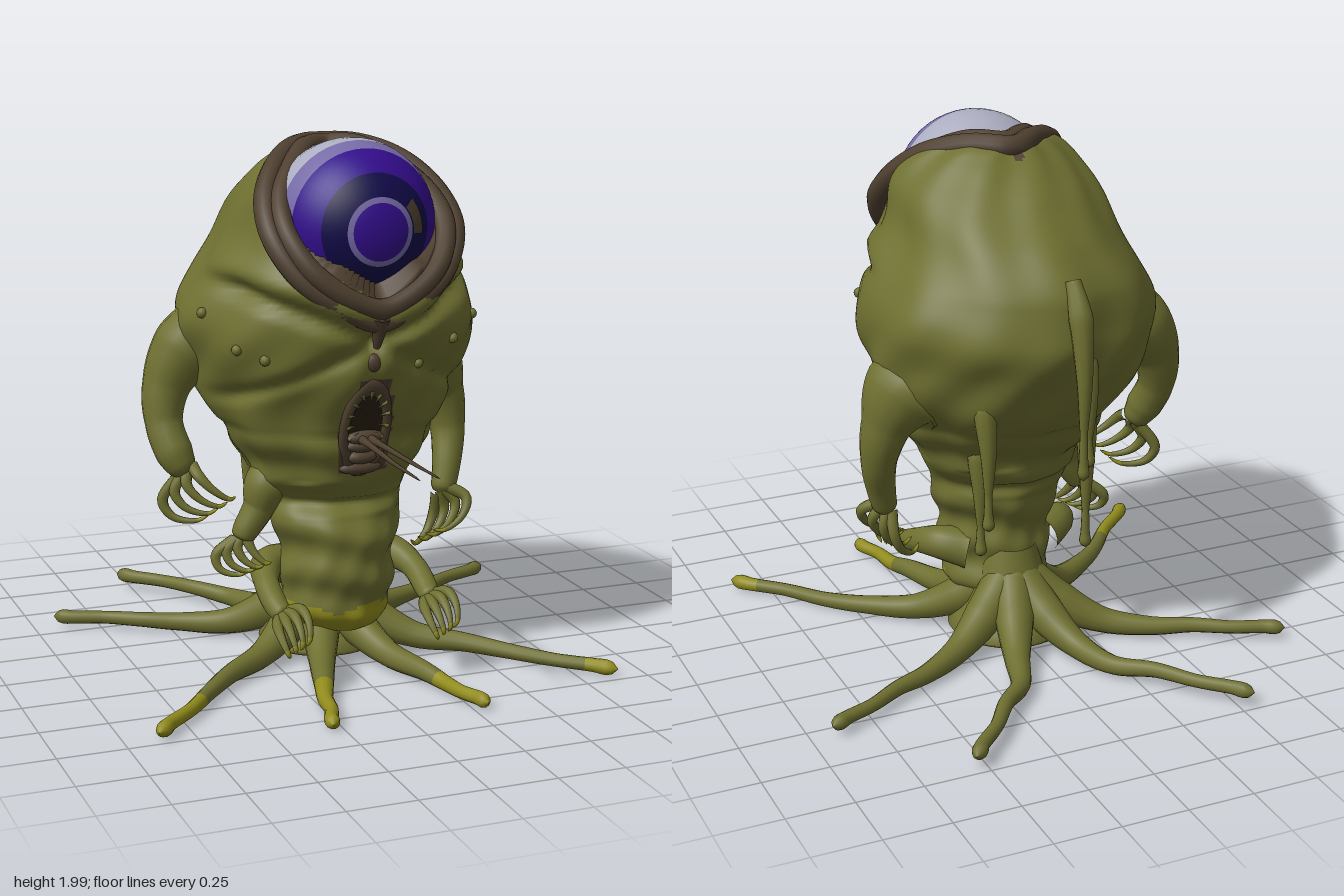
import * as THREE from 'three';
import { mergeVertices } from 'three/addons/utils/BufferGeometryUtils.js';

const mat = (name, color, side = THREE.FrontSide) => {
  const m = new THREE.MeshStandardMaterial({ color, side });
  m.name = name;
  return m;
};
const V = (a) => new THREE.Vector3(...a);
const gauss = (v, w) => Math.exp(-(v * v) / (w * w));

// body sections: y, half width, front z, back z
const ROWS = [
  [0.14, 0.001, 0.1, 0.09], [0.15, 0.14, 0.25, -0.08], [0.22, 0.2, 0.31, -0.12], [0.35, 0.21, 0.34, -0.11],
  [0.5, 0.22, 0.345, -0.12], [0.6, 0.26, 0.32, -0.15], [0.68, 0.27, 0.29, -0.18], [0.76, 0.32, 0.35, -0.22],
  [0.9, 0.39, 0.4, -0.33], [1.05, 0.48, 0.45, -0.46], [1.2, 0.53, 0.51, -0.53], [1.35, 0.55, 0.56, -0.57],
  [1.5, 0.49, 0.57, -0.54], [1.65, 0.41, 0.56, -0.43], [1.8, 0.36, 0.52, -0.26], [1.9, 0.28, 0.4, -0.13],
  [1.95, 0.17, 0.25, -0.05], [1.96, 0.001, 0.12, 0.118],
];
const outline = new THREE.CatmullRomCurve3(ROWS.map(([y, w, f, b]) => new THREE.Vector3(w, y, (f + b) / 2)));
const depths = new THREE.CatmullRomCurve3(ROWS.map(([, , f, b]) => new THREE.Vector3((f - b) / 2, 0, 0)));

// slanted eye socket: distance from its plane, and how far a point lies outside its teardrop outline
const EYE = new THREE.Vector3(0, 1.7, 0.27);
const SOCKET = new THREE.Vector3(0, 0.745, 0.667);
const socketDistance = (p) => p.dot(SOCKET) - 1.534;
function outsideSocket(p) {
  const u = -0.667 * (p.y - 1.766) + 0.745 * (p.z - 0.33);
  const w = u < 0.05 ? (0.27 * (u + 0.36)) / 0.41 : u < 0.37 ? 0.27 * (1 - ((u - 0.05) / 0.32) ** 2) ** 0.7 : -0.6 * (u - 0.37);
  return Math.abs(p.x) - w;
}

// point on the body skin, with folds, creases and the eye socket
function skin(t, a) {
  const o = outline.getPoint(t), d = Math.max(depths.getPoint(t).x, 0.001);
  const y = o.y, x = Math.abs(o.x * Math.sin(a)), front = Math.max(0, Math.cos(a));
  const rough = y < 0.75 ? 0.4 : 1;
  let bump = 0.011 * rough * Math.sin(5 * a + 7 * y) * Math.sin(13 * y - 2 * a) + 0.006 * rough * Math.sin(11 * a - 9 * y + 2 * Math.sin(8 * y));
  if (y < 0.95) bump += 0.01 * Math.sin(38 * y + 1.2 * Math.sin(2 * a));
  if (front > 0) {
    const k = Math.min(1, front * 2);
    bump -= k * 0.04 * gauss(y - 1.31 - 0.38 * x, 0.035);
    bump -= k * 0.025 * gauss(y - 1.3 + 0.5 * x, 0.035);
    bump += k * 0.02 * gauss(y - 1.38 - 0.4 * x, 0.05);
    bump -= 0.03 * gauss(x, 0.03) * gauss(y - 1.27, 0.12);
    bump -= k * 0.05 * gauss(x, 0.075) * gauss(y - 0.99, 0.13);
  }
  bump *= Math.min(1, o.x / 0.15);
  const p = new THREE.Vector3((o.x + bump) * Math.sin(a), y, o.z + (d + bump) * Math.cos(a));
  const over = socketDistance(p);
  if (over > 0) p.addScaledVector(SOCKET, -over);
  if (over > -0.2 && outsideSocket(p) < 0 && p.distanceTo(EYE) > 0.28) p.sub(EYE).setLength(0.28).add(EYE);
  return p;
}
// skin point looked up by height
function skinAt(y, a) {
  let lo = 0, hi = 1;
  for (let i = 0; i < 24; i++) {
    const m = (lo + hi) / 2;
    if (outline.getPoint(m).y < y) lo = m; else hi = m;
  }
  return skin(lo, a);
}

// skin colour: brown in the socket and around the mouth, yellow under the trunk, else olive
function skinColour(p) {
  if (socketDistance(p) > -0.2 && outsideSocket(p) < 0.06) return 1;
  if (p.z > 0.2 && p.y > 0.78 && p.y < 1.16 && Math.abs(p.x) < 0.098 - 0.2 * Math.max(0, p.y - 0.95)) return 1;
  return p.y < 0.25 + 0.015 * Math.sin(p.x * 25) && p.z > 0.11 ? 2 : 0;
}

function bodyGeometry() {
  const N = 150, M = 128, pos = [], lists = [[], [], []];
  for (let i = 0; i <= N; i++) for (let j = 0; j < M; j++) pos.push(...skin(i / N, (j / M) * Math.PI * 2).toArray());
  for (let i = 0; i < N; i++) for (let j = 0; j < M; j++) {
    const k = (j + 1) % M, a = i * M + j, b = i * M + k, c = a + M, d = b + M;
    lists[skinColour(new THREE.Vector3().fromArray(pos, a * 3))].push(a, b, d, a, d, c);
  }
  const g = new THREE.BufferGeometry();
  g.setAttribute('position', new THREE.Float32BufferAttribute(pos, 3));
  g.setIndex(lists.flat());
  let start = 0;
  lists.forEach((l, i) => { g.addGroup(start, l.length, i); start += l.length; });
  g.computeVertexNormals();
  return g;
}

// tapering limb; points are [x, y, z, radius], colour changes after the split fraction
function limb(points, split = 1, n = 36, m = 12, closed = false) {
  const curve = new THREE.CatmullRomCurve3(points.map(([x, y, z]) => new THREE.Vector3(x, y, z)), closed);
  let g = new THREE.TubeGeometry(curve, n, 1, m, closed);
  const P = g.attributes.position, p = new THREE.Vector3(), last = closed ? points.length : points.length - 1;
  for (let i = 0; i <= n; i++) {
    const u = i / n, c = curve.getPointAt(u), f = curve.getUtoTmapping(u) * last;
    const k = Math.min(Math.floor(f), last - 1);
    let r = THREE.MathUtils.lerp(points[k][3], points[(k + 1) % points.length][3], f - k);
    if (!closed) r *= Math.sqrt(Math.max(0, 1 - Math.max(0, (u - 0.94) / 0.06) ** 2));
    for (let j = 0; j <= m; j++) {
      const id = i * (m + 1) + j;
      p.fromBufferAttribute(P, id).sub(c).multiplyScalar(Math.max(r, 0.0005)).add(c);
      P.setXYZ(id, p.x, p.y, p.z);
    }
  }
  g.deleteAttribute('uv');
  g.deleteAttribute('normal');
  g = mergeVertices(g, 1e-6);
  g.computeVertexNormals();
  const cut = Math.round(n * split) * m * 6;
  g.addGroup(0, cut, 0);
  g.addGroup(cut, n * m * 6 - cut, 1);
  return g;
}

export function createModel() {
  const root = new THREE.Group();
  root.name = 'oneEyedCreature';
  const olive = mat('olive skin', 0x6f7031), brown = mat('brown flesh', 0x4f4030), yellow = mat('yellow slime', 0x918c1c);
  const dark = mat('dark mouth', 0x2a2015, THREE.DoubleSide), white = mat('eye white', 0xabadc0);
  const lavender = mat('lavender', 0x766ba6), purple = mat('purple iris', 0x330d8c), navy = mat('navy iris', 0x110a48);
  const add = (name, g, m, parent = root) => {
    const mesh = new THREE.Mesh(g, m);
    mesh.name = name;
    parent.add(mesh);
    return mesh;
  };
  const skinTip = [olive, yellow];

  add('body', bodyGeometry(), [olive, brown, yellow]);

  // eye, in coloured rings around the forward axis
  const eye = new THREE.Group();
  eye.name = 'eye';
  eye.position.copy(EYE);
  root.add(eye);
  const bands = [['pupil', 0, 20, purple], ['pupilRing', 20, 24, lavender], ['innerIris', 24, 42, navy],
    ['outerIris', 42, 66, purple], ['irisEdge', 66, 80, lavender], ['eyeWhite', 80, 180, white]];
  for (const [name, a, b, m] of bands) {
    const r = Math.PI / 180;
    add(name, new THREE.SphereGeometry(0.3, 48, 12, 0, Math.PI * 2, a * r, (b - a) * r).rotateX(Math.PI / 2), m, eye);
  }
  add('eyeFleck', new THREE.SphereGeometry(0.303, 8, 8, Math.PI - 0.1, 0.8, 0.43, 0.16).rotateX(Math.PI / 2), brown, eye);

  // teardrop eyelids, mirrored from the left half between apex and lower corner
  const lid = (apex, half, corner) => limb([apex, ...half, corner, ...half.map(([x, ...rest]) => [-x, ...rest]).reverse()], 1, 110, 10, true);
  add('innerEyelid', lid([0, 1.945, 0, 0.042], [[0.1, 1.945, 0.07, 0.042], [0.2, 1.885, 0.19, 0.042], [0.285, 1.79, 0.31, 0.04],
    [0.3, 1.69, 0.42, 0.038], [0.24, 1.57, 0.51, 0.038], [0.12, 1.475, 0.55, 0.038]], [0, 1.43, 0.555, 0.038]), brown);
  add('outerEyelid', lid([0, 1.945, -0.065, 0.042], [[0.12, 1.945, 0.02, 0.042], [0.245, 1.895, 0.15, 0.042], [0.33, 1.79, 0.28, 0.042],
    [0.345, 1.67, 0.4, 0.04], [0.27, 1.535, 0.49, 0.038], [0.13, 1.435, 0.535, 0.036]], [0, 1.375, 0.54, 0.034]), brown);
  add('browSeam', limb([[0, 1.4, 0.55, 0.04], [0, 1.34, 0.535, 0.024], [0, 1.28, 0.515, 0.012]]), brown);
  add('nose', new THREE.SphereGeometry(0.026, 12, 8).scale(1.2, 1.3, 0.8).translate(0, 1.225, 0.49), brown);

  // mouth with lips, teeth and tongue
  const mouth = new THREE.Group();
  mouth.name = 'mouth';
  mouth.position.set(0, 0.97, 0.412);
  mouth.rotation.x = 0.34;
  root.add(mouth);
  add('mouthHollow', new THREE.CircleGeometry(1, 32).scale(0.08, 0.165, 1), dark, mouth);
  add('lips', new THREE.TorusGeometry(0.082, 0.018, 10, 40).scale(1, 2.1, 1), brown, mouth);
  for (let i = 0; i < 14; i++) {
    const a = (i / 14) * Math.PI * 2;
    const tooth = add('tooth', new THREE.ConeGeometry(0.009, 0.045, 6), olive, mouth);
    tooth.position.set(0.06 * Math.sin(a), 0.04 + 0.1 * Math.cos(a), 0.015);
    tooth.rotation.z = Math.PI - a;
  }
  for (const [y, w] of [[-0.035, 0.075], [-0.07, 0.07], [-0.12, 0.06], [-0.165, 0.085]]) {
    add('tongueFold', new THREE.SphereGeometry(1, 16, 10).scale(w, 0.026, 0.03).translate(0, y, 0.005), brown, mouth);
  }
  for (const s of [-1, 1]) {
    add('needleTongue', limb([[s * 0.015, 0.93, 0.37, 0.022], [s * 0.02, 0.93, 0.5, 0.012], [s * 0.03, 0.925, 0.75, 0.008], [s * 0.036, 0.925, 1, 0.003]], 1, 20, 8), brown);
  }

  // arms and clawed hands
  function arm(name, points, reach, spread, curl) {
    const g = new THREE.Group();
    g.name = name;
    root.add(g);
    add('armFlesh', limb(points, 1, 40, 16), olive, g);
    const b = V(points[points.length - 1].slice(0, 3)), R = V(reach), S = V(spread), C = V(curl);
    for (let i = 0; i < 4; i++) {
      const s = (i - 1.5) / 1.5;
      const q = (r, sp, c, rad) => [...b.clone().addScaledVector(R, r).addScaledVector(S, sp * s).addScaledVector(C, c).toArray(), rad];
      add('finger', limb([q(-0.15, 0.3, 0, 0.024), q(0.3, 0.9, -0.5, 0.021), q(0.75, 1, -0.2, 0.015), q(1, 0.8, 0.6, 0.009), q(0.9, 0.6, 1.1, 0.004)], 0.85, 24, 8), skinTip, g);
    }
  }
  arm('rightArm', [[-0.4, 1.3, -0.05, 0.14], [-0.52, 1.2, -0.08, 0.13], [-0.595, 1.07, -0.08, 0.09], [-0.615, 0.94, -0.05, 0.07], [-0.59, 0.83, 0, 0.07], [-0.55, 0.75, 0.03, 0.045]],
    [0.03, -0.13, 0.05], [0.06, 0.06, 0.06], [0.08, 0.01, 0.02]);
  arm('leftArm', [[0.36, 1.1, -0.08, 0.17], [0.44, 1.07, -0.08, 0.165], [0.51, 0.96, -0.08, 0.095], [0.535, 0.82, -0.06, 0.068], [0.51, 0.68, -0.01, 0.055], [0.48, 0.57, 0.02, 0.045]],
    [-0.02, -0.15, 0.03], [0.05, 0.045, 0.06], [-0.08, 0, 0.02]);
  arm('middleArm', [[-0.2, 0.76, 0.08, 0.1], [-0.27, 0.7, 0.1, 0.085], [-0.3, 0.62, 0.1, 0.06], [-0.35, 0.54, 0.1, 0.05], [-0.37, 0.5, 0.1, 0.04]],
    [-0.01, -0.1, 0.03], [0.06, 0.03, 0.03], [0.06, 0, 0.03]);
  for (const s of [-1, 1]) {
    arm(s < 0 ? 'lowerRightArm' : 'lowerLeftArm', [[s * 0.15, 0.36, 0.0, 0.08], [s * 0.25, 0.38, 0.06, 0.065], [s * 0.295, 0.35, 0.17, 0.047], [s * 0.3, 0.3, 0.28, 0.045], [s * 0.29, 0.27, 0.36, 0.035]],
      [0, -0.035, 0.15], [0.05, 0.03, 0], [0, -0.05, 0]);
  }

  // spreading foot and root-like legs: knee x, z, tip x, z, tip height, colour splits for right and left
  const foot = [[0, 0.03], [0.22, 0.03], [0.24, 0.05], [0.21, 0.09], [0.17, 0.15], [0.14, 0.24], [0.1, 0.38]];
  add('foot', new THREE.LatheGeometry(foot.map(([x, y]) => new THREE.Vector2(x, y)), 40).translate(0, 0, -0.04), olive);
  const legs = [[0.19, -0.56, 0.55, -0.985, 0.07, 1, 1], [0.47, -0.34, 0.925, -0.57, 0.06, 1, 1],
    [0.47, 0.28, 0.885, 0.73, 0.045, 0.72, 0.9], [0.2, 0.52, 0.295, 0.865, 0.042, 0.62, 0.7]];
  for (const s of [-1, 1]) for (const [kx, kz, tx, tz, h, splitR, splitL] of legs) {
    const inner = (f, y, r) => [s * kx * f, y, -0.06 + (kz + 0.06) * f, r];
    const outer = (f, w, r) => [s * (kx + (tx - kx) * f + w), h, kz + (tz - kz) * f + w * Math.sign(-tz), r];
    add('rootLeg', limb([inner(0.1, 0.24, 0.08), inner(0.35, 0.14, 0.075), inner(0.65, 0.07, 0.05), inner(1, 0.055, 0.036),
      outer(0.3, 0.004, 0.029), outer(0.6, -0.005, 0.025), outer(0.85, 0.003, 0.026), outer(0.94, 0, 0.032), outer(1, 0, 0.03)], s < 0 ? splitR : splitL, 56, 12), skinTip);
  }

  // slime drips hanging from the back: x, z, top y, bottom y
  const drips = [[-0.03, -0.61, 1.45, 0.85], [-0.08, -0.55, 1.25, 0.87], [0.25, -0.41, 1.08, 0.62], [-0.22, -0.25, 0.92, 0.4], [0.19, -0.2, 0.82, 0.42]];
  for (const [x, z, top, low] of drips) {
    const h = top - low;
    add('drip', limb([[x * 0.9, top + 0.12, z * 0.84, 0.03], [x, top, z * 0.94, 0.045], [x, top - h * 0.35, z, 0.03], [x, low + h * 0.3, z, 0.014],
      [x, low + 0.06, z, 0.018], [x, low + 0.025, z, 0.025], [x, low, z, 0.022]], 1, 48, 10), olive);
  }

  // warts
  for (const [y, a] of [[1.24, -0.75], [1.27, -0.95], [1.28, 0.65], [1.34, 0.98], [1.2, 0.4], [1.38, -1.3]]) {
    add('wart', new THREE.SphereGeometry(0.02, 12, 8), olive).position.copy(skinAt(y, a));
  }
  return root;
}
